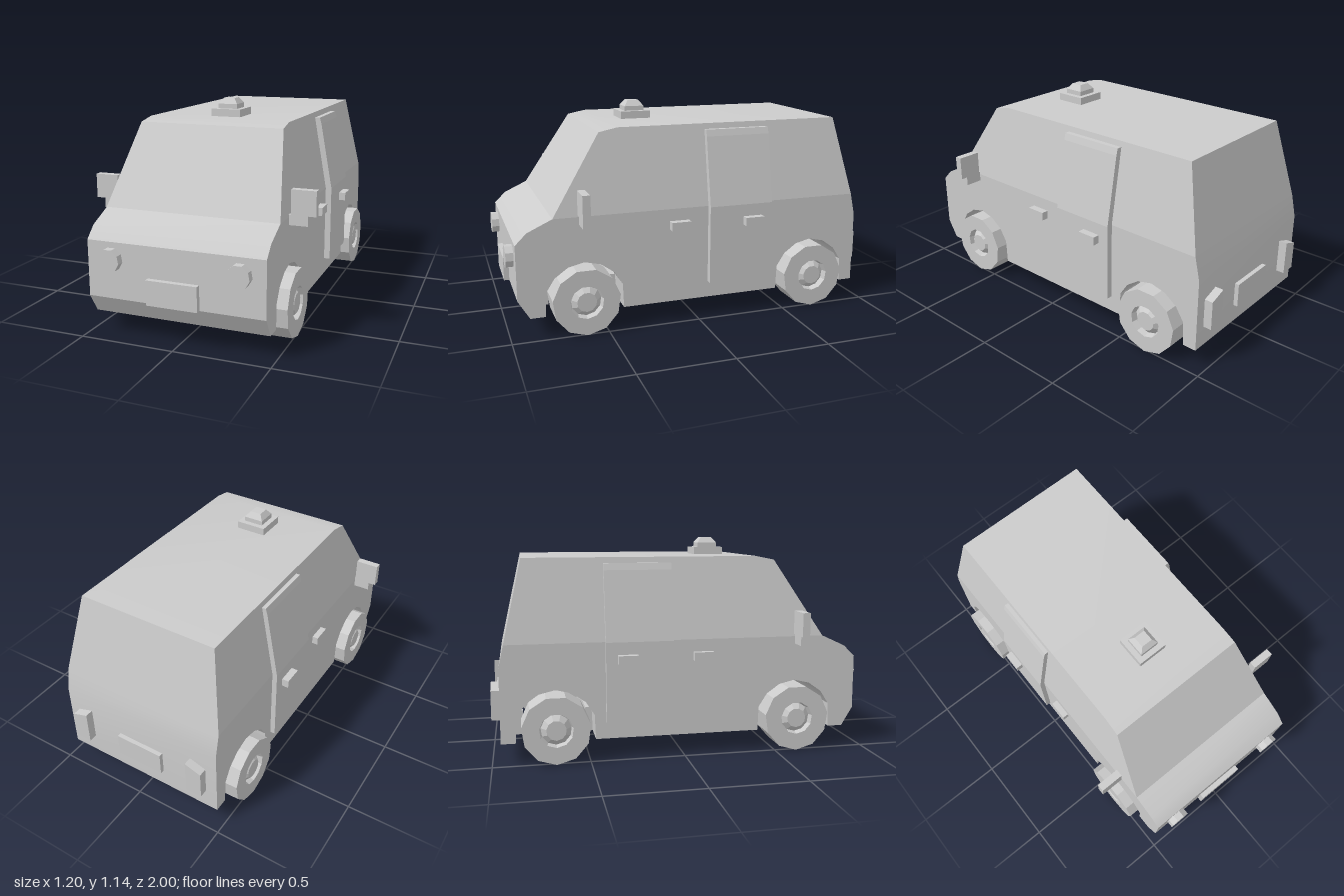
import * as THREE from 'three';
import { toCreasedNormals } from 'three/addons/utils/BufferGeometryUtils.js';

const grey = new THREE.MeshStandardMaterial({ color: 0xcccccc });
const flatGrey = new THREE.MeshStandardMaterial({ color: 0xcccccc, flatShading: true });
const AXLES = [0.615, -0.675];
const BODY_HALF = 0.467, ROOF_HALF = 0.39, BELT_Y = 0.62, ROOF_Y = 1.05;

export function createModel() {
  const model = new THREE.Group();

  const add = (name, geometry, x = 0, y = 0, z = 0, material = flatGrey) => {
    const mesh = new THREE.Mesh(geometry, material);
    mesh.name = name;
    mesh.position.set(x, y, z);
    model.add(mesh);
    return mesh;
  };

  // box given by its lower and upper limits on each axis
  const box = (name, [x0, x1], [y0, y1], [z0, z1]) =>
    add(name, new THREE.BoxGeometry(Math.abs(x1 - x0), y1 - y0, z1 - z0),
      (x0 + x1) / 2, (y0 + y1) / 2, (z0 + z1) / 2);

  const extrude = (points, depth) => new THREE.ExtrudeGeometry(
    new THREE.Shape(points.map(([a, b]) => new THREE.Vector2(a, b))),
    { depth, bevelEnabled: false }).translate(0, 0, -depth / 2);

  // side profile (z, y) extruded across the width
  const sideProfile = (points, width) => extrude(points, width).rotateY(-Math.PI / 2);

  // wheel arch outline, from front to back
  const arch = (c) => [[0.205, 0.11], [0.2, 0.24], [0.155, 0.31], [0.085, 0.36], [0, 0.38],
    [-0.085, 0.36], [-0.155, 0.31], [-0.2, 0.24], [-0.205, 0.11]].map(([z, y]) => [c + z, y]);

  // lower body with arches cut through
  const lower = sideProfile([
    [-0.955, 0.11], [-0.955, 0.5], [-0.928, BELT_Y], [0.77, BELT_Y], [0.9, 0.56],
    [0.96, 0.5], [0.96, 0.21], [0.9, 0.11], ...arch(AXLES[0]), ...arch(AXLES[1]),
  ], BODY_HALF * 2);
  add('lowerBody', toCreasedNormals(lower, 0.4), -0.003, 0, 0, grey);

  // cabin, narrowing towards the roof
  const cabin = sideProfile([
    [-0.928, BELT_Y], [-0.83, ROOF_Y], [0.41, ROOF_Y], [0.51, 1.03], [0.77, BELT_Y],
  ], BODY_HALF * 2);
  const p = cabin.attributes.position;
  for (let i = 0; i < p.count; i++) {
    const t = (p.getY(i) - BELT_Y) / (ROOF_Y - BELT_Y);
    const half = THREE.MathUtils.lerp(BODY_HALF, ROOF_HALF, t);
    p.setX(i, Math.sign(p.getX(i)) * half);
  }
  cabin.computeVertexNormals();
  add('cabin', toCreasedNormals(cabin, 0.4), -0.003, 0, 0, grey);

  // inner walls of the wheel wells
  for (const c of AXLES) {
    for (const s of [1, -1]) {
      const z = c + s * 0.185;
      box('wheelWellWall', [-0.3, 0.3], [0.11, 0.24], [z - 0.02, z + 0.02]);
    }
  }

  // wheel outline: tyre, recessed ring and raised hub
  const wheelOutline = [[0, -0.093], [0.178, -0.093], [0.178, 0.093], [0.088, 0.093],
    [0.08, 0.06], [0.052, 0.088], [0, 0.088]].map(([r, h]) => new THREE.Vector2(r, h));

  for (const s of [1, -1]) {
    const side = s > 0 ? 'left' : 'right';

    AXLES.forEach((z, i) => {
      const wheel = new THREE.LatheGeometry(wheelOutline, 11, Math.PI / 2).rotateZ(-Math.PI / 2);
      if (s < 0) wheel.rotateY(Math.PI);
      add(`${side}${i ? 'Rear' : 'Front'}Wheel`, wheel, s * 0.423 - 0.005, 0.178, z);
    });

    // sliding door panel following the side of the body
    const door = [[0.45, 0.2], [0.497, 0.2], [0.497, 0.62], [0.43, 0.985], [0.42, 1.02],
      [0.38, 1.02], [0.45, 0.62]].map(([x, y]) => [s * x, y]);
    add(`${side}SlidingDoor`, extrude(door, 0.355), 0, 0, -0.2375);

    box(`${side}FrontHandle`, [s * 0.45, s * 0.503], [0.51, 0.555], [0.05, 0.155]);
    box(`${side}RearHandle`, [s * 0.48, s * 0.535], [0.51, 0.555], [-0.355, -0.25]);

    // mirror and its arm
    box(`${side}Mirror`, [s * 0.475, s * 0.602], [0.633, 0.76], [0.605, 0.645]);
    box(`${side}MirrorArm`, [s * 0.45, s * 0.56], [0.58, 0.633], [0.613, 0.637]);

    // lights
    add(`${side}Headlight`, new THREE.CylinderGeometry(0.06, 0.06, 0.06, 9).rotateX(Math.PI / 2),
      s * 0.337, 0.413, 0.97);
    const tail = [[0.315, 0.22], [0.405, 0.22], [0.405, 0.375], [0.315, 0.405]]
      .map(([x, y]) => [s * x, y]);
    add(`${side}TailLight`, extrude(tail, 0.06), 0, 0, -0.97);
  }

  // blank plates
  box('frontPlate', [-0.141, 0.129], [0.21, 0.338], [0.94, 0.988]);
  box('rearPlate', [-0.141, 0.129], [0.21, 0.338], [-0.978, -0.94]);

  // roof beacon: base, block and tapered cap
  box('beaconBase', [-0.083, 0.083], [1.04, 1.09], [0.143, 0.309]);
  box('beaconBlock', [-0.054, 0.054], [1.09, 1.115], [0.172, 0.28]);
  const cap = new THREE.CylinderGeometry(0.031 * Math.SQRT2, 0.054 * Math.SQRT2, 0.03, 4)
    .rotateY(Math.PI / 4);
  add('beaconCap', cap, 0, 1.13, 0.226);

  return model;
}
